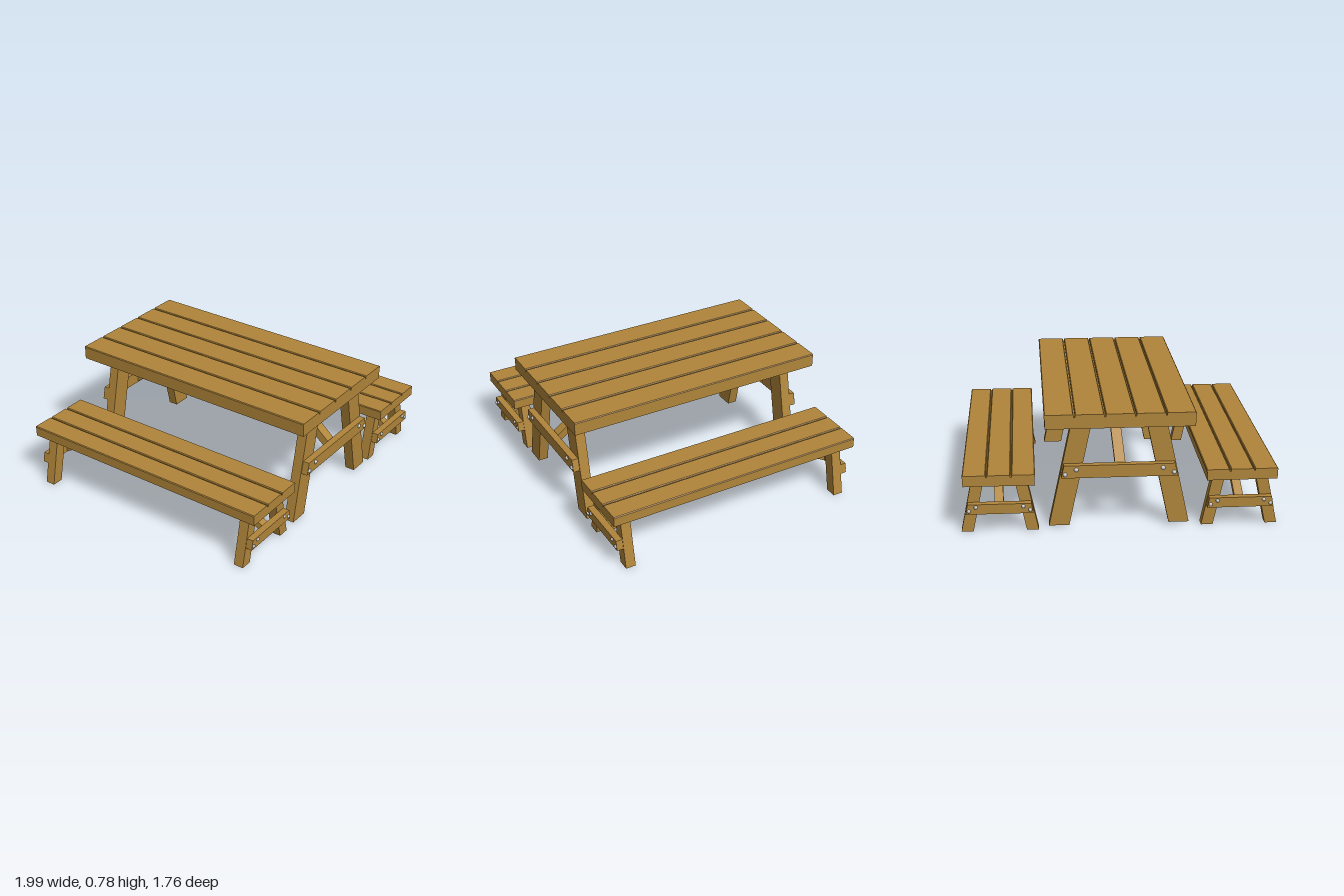
import * as THREE from 'three';

const wood = new THREE.MeshStandardMaterial({ color: 0xb0853a });
const metal = new THREE.MeshStandardMaterial({ color: 0xcccccc });

function add(group, name, geometry, material = wood) {
  const mesh = new THREE.Mesh(geometry, material);
  mesh.name = name;
  group.add(mesh);
  return mesh;
}

// Straight prism: an outline in x/y, extruded from z0 to z1
function prism(points, z0, z1) {
  const shape = new THREE.Shape(points.map(([x, y]) => new THREE.Vector2(x, y)));
  const geo = new THREE.ExtrudeGeometry(shape, { depth: z1 - z0, bevelEnabled: false });
  return geo.translate(0, 0, z0);
}

// Row of boards with chamfered upper edges
function boards(group, o) {
  const pitch = (o.halfWidth * 2 + o.gap) / o.count;
  const w = pitch - o.gap, c = 0.005;
  for (let i = 0; i < o.count; i++) {
    const x = -o.halfWidth + i * pitch;
    add(group, 'plank', prism([
      [x, o.slabTop], [x + w, o.slabTop], [x + w, o.top - c], [x + w - c, o.top],
      [x + c, o.top], [x, o.top - c],
    ], -o.halfLength, o.halfLength));
  }
}

// Splayed pair of legs with cross rail, bolts and diagonal brace; s = 1 front, -1 back
function trestle(group, o, s) {
  const end = new THREE.Group();
  end.name = s > 0 ? 'frontTrestle' : 'backTrestle';
  end.position.z = s > 0 ? 0 : o.backShift;
  group.add(end);
  const span = (points, a, b) => prism(points, Math.min(s * a, s * b), Math.max(s * a, s * b));

  for (const m of [-1, 1]) {
    add(end, 'leg', span([
      [m * o.footIn, o.footY], [m * o.footOut, o.footY],
      [m * o.headOut, o.slabBottom + 0.005], [m * o.headIn, o.slabBottom + 0.005],
    ], 0.751, 0.817));
    for (const [x, y] of o.bolts) {
      const bolt = add(end, 'bolt', new THREE.SphereGeometry(o.boltRadius, 16, 10), metal);
      bolt.position.set(m * x, y, s * o.railOut);
      bolt.scale.z = 0.8;
    }
  }

  const [y0, y1] = o.railY, [x0, x1] = o.railX;
  add(end, 'crossRail', span([[-x0, y0], [x0, y0], [x1, y1], [-x1, y1]], 0.815, o.railOut));

  // Brace outline lies in the z/y plane, and leans slightly sideways
  const brace = prism(o.brace.map(([z, y]) => [s * z, y]), -o.braceWidth / 2, o.braceWidth / 2);
  brace.rotateY(-Math.PI / 2);
  const p = brace.attributes.position;
  for (let i = 0; i < p.count; i++) {
    p.setX(i, p.getX(i) + o.braceX + o.lean * (p.getY(i) - o.slabBottom));
  }
  brace.computeVertexNormals();
  add(end, 'brace', brace);
}

function furniture(name, x, o) {
  const group = new THREE.Group();
  group.name = name;
  group.position.x = x;
  const height = o.slabTop - o.slabBottom;
  add(group, 'slab', new THREE.BoxGeometry(o.halfWidth * 2 - 0.006, height, o.halfLength * 2))
    .position.y = o.slabBottom + height / 2;
  boards(group, o);
  for (const s of [1, -1]) trestle(group, o, s);
  return group;
}

const table = {
  halfWidth: 0.465, halfLength: 0.882, count: 5, gap: 0.008,
  slabBottom: 0.69, slabTop: 0.762, top: 0.78,
  footY: 0.015, footIn: 0.315, footOut: 0.443, headIn: 0.17, headOut: 0.297,
  railY: [0.348, 0.43], railX: [0.365, 0.346], railOut: 0.86, backShift: 0.03,
  bolts: [[0.34, 0.372], [0.27, 0.403]], boltRadius: 0.014,
  brace: [[0.82, 0.35], [0.82, 0.412], [0.465, 0.69], [0.36, 0.69]],
  braceWidth: 0.066, braceX: 0.012, lean: 0.07,
};

const bench = {
  halfWidth: 0.224, halfLength: 0.882, count: 3, gap: 0.007,
  slabBottom: 0.33, slabTop: 0.386, top: 0.4,
  footY: 0, footIn: 0.167, footOut: 0.242, headIn: 0.096, headOut: 0.172,
  railY: [0.132, 0.197], railX: [0.21, 0.198], railOut: 0.86, backShift: 0.01,
  bolts: [[0.19, 0.154], [0.147, 0.179]], boltRadius: 0.012,
  brace: [[0.82, 0.13], [0.82, 0.178], [0.57, 0.33], [0.466, 0.33]],
  braceWidth: 0.056, braceX: 0.01, lean: 0.05,
};

export function createModel() {
  const model = new THREE.Group();
  model.name = 'picnicSet';
  model.add(
    furniture('table', 0.003, table),
    furniture('rightBench', -0.758, bench),
    furniture('leftBench', 0.752, bench),
  );
  return model;
}
